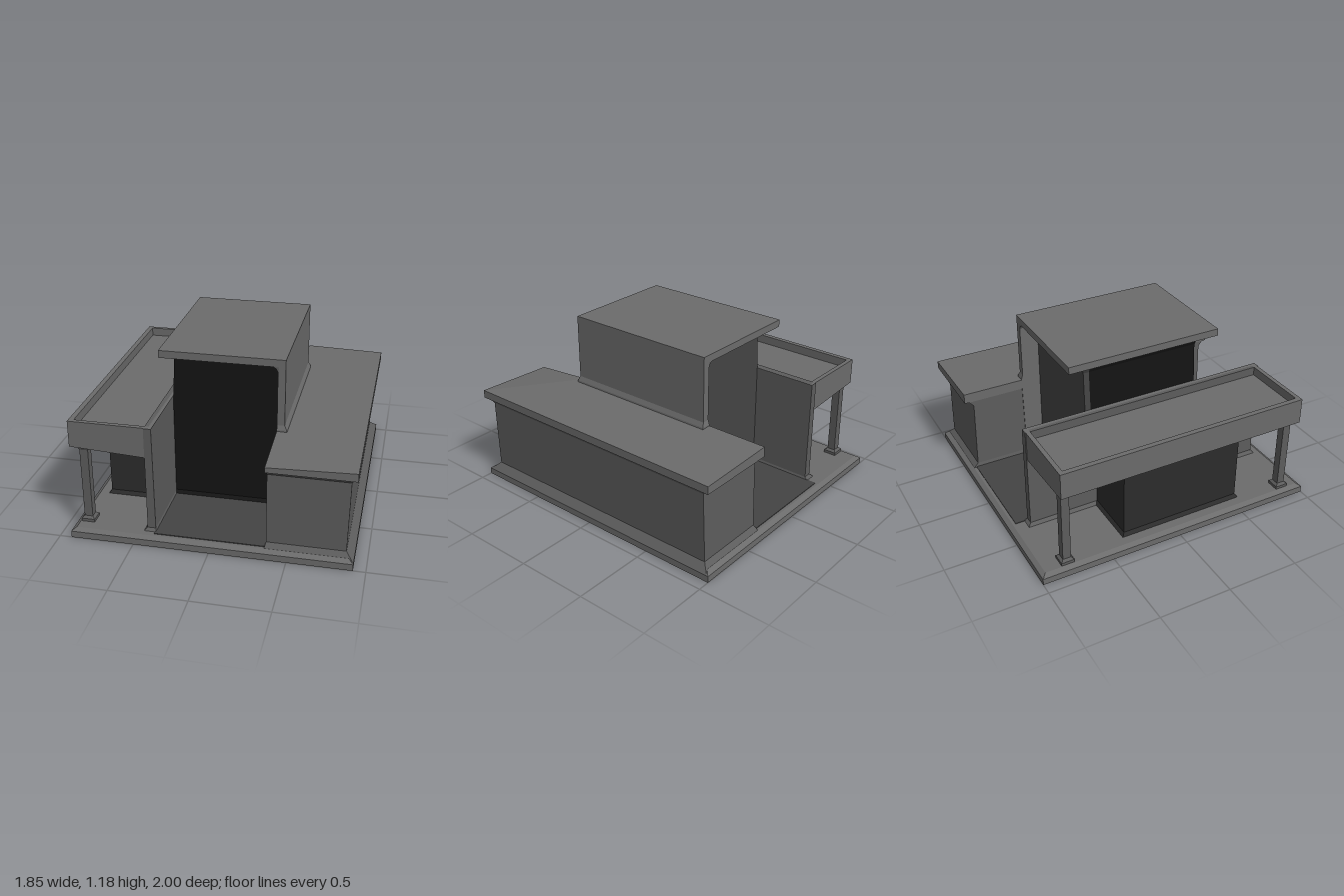
import * as THREE from 'three';

const paint = (color) => new THREE.MeshStandardMaterial({ color, flatShading: true });
const mid = paint(0x6b6b6b);
const wall = paint(0x5c5c5c);
const shade = paint(0x444444);
const dim = paint(0x2c2c2c);
const dark = paint(0x141414);

// Stack of rectangles [y, x0, x1, z0, z1], joined bottom to top and capped
function loft(rects) {
  const pos = [], idx = [];
  rects.forEach(([y, x0, x1, z0, z1]) =>
    pos.push(x0, y, z1, x1, y, z1, x1, y, z0, x0, y, z0));
  for (let r = 0; r < rects.length - 1; r++) {
    for (let i = 0; i < 4; i++) {
      const a = r * 4 + i, b = r * 4 + (i + 1) % 4;
      idx.push(a, b, b + 4, a, b + 4, a + 4);
    }
  }
  const t = (rects.length - 1) * 4;
  idx.push(0, 2, 1, 0, 3, 2, t, t + 1, t + 3, t + 1, t + 2, t + 3);
  const indexed = new THREE.BufferGeometry();
  indexed.setAttribute('position', new THREE.Float32BufferAttribute(pos, 3));
  indexed.setIndex(idx);
  const g = indexed.toNonIndexed();
  g.computeVertexNormals();
  return g;
}

// Box given by its limits
function block(x0, x1, y0, y1, z0, z1) {
  return loft([[y0, x0, x1, z0, z1], [y1, x0, x1, z0, z1]]);
}

// Move vertices up or down by a rule depending on their position
function shiftY(geometry, rule) {
  const p = geometry.attributes.position;
  for (let i = 0; i < p.count; i++) {
    p.setY(i, p.getY(i) + rule(p.getX(i), p.getY(i), p.getZ(i)));
  }
  geometry.computeVertexNormals();
  return geometry;
}

export function createModel() {
  const model = new THREE.Group();
  model.name = 'building';
  const add = (name, geometry, material) => {
    const mesh = new THREE.Mesh(geometry, material);
    mesh.name = name;
    model.add(mesh);
    return mesh;
  };

  // Ground slab with a softened upper edge
  add('baseSlab', loft([
    [0, -0.92, 0.92, -1, 1],
    [0.045, -0.92, 0.92, -1, 1],
    [0.065, -0.89, 0.89, -0.97, 0.97],
  ]), mid);

  // Shaded paving of the two open bays
  add('frontBayFloor', block(-0.37, 0.37, 0.05, 0.07, 0.4, 0.95), shade);
  add('backBayFloor', block(-0.37, 0.37, 0.05, 0.07, -0.95, -0.4), shade);

  // Closed side wing: flared foot, slightly leaning walls, cove under the eaves
  add('wingWalls', loft([
    [0.045, 0.35, 0.92, -0.99, 0.99],
    [0.095, 0.36, 0.87, -0.935, 0.935],
    [0.58, 0.36, 0.88, -0.925, 0.93],
    [0.625, 0.36, 0.905, -0.965, 0.965],
  ]), wall);

  // Wing roof: rises toward the tower, with a folded front end
  add('wingRoof', shiftY(block(0.355, 0.92, 0.62, 0.675, -0.99, 0.55),
    (x, y) => (x < 0.5 && y > 0.65 ? 0.015 : 0)), mid);
  add('wingRoofFront', shiftY(block(0.355, 0.92, 0.62, 0.675, 0.55, 0.985),
    (x, y, z) => (x > 0.5 || y < 0.65 ? 0 : z > 0.8 ? -0.02 : 0.015)), mid);

  // Tower core set back under the roof; only the outer side of each half flares
  const towerHalf = (front) => [
    [0.06, -0.37, 0.03], [0.09, -0.37, 0], [0.8, -0.37, 0],
    [1.07, -0.355, 0], [1.11, -0.37, 0.01], [1.135, -0.4, 0.03],
  ].map(([y, x0, flare]) => (front
    ? [y, x0, 0.37, -0.38, 0.41 + flare]
    : [y, x0, 0.37, -0.42 - flare, -0.38]));
  add('towerCore', loft(towerHalf(true)), dark);
  add('towerBackWall', loft(towerHalf(false)), shade);

  // Full-depth side panel and overhanging roof of the tower
  add('towerSidePanel', loft([
    [0.06, 0.355, 0.405, -0.55, 0.55],
    [0.67, 0.355, 0.425, -0.56, 0.56],
    [0.7, 0.355, 0.42, -0.56, 0.56],
    [0.73, 0.355, 0.405, -0.55, 0.55],
    [1.14, 0.355, 0.405, -0.55, 0.55],
  ]), mid);
  add('towerRoof', block(-0.42, 0.405, 1.13, 1.18, -0.55, 0.55), mid);

  // Rounded inner corners where the side panel meets the roof
  for (const z of [0.4, -0.55]) {
    const s = new THREE.Shape();
    s.moveTo(0.36, 1.135);
    s.lineTo(0.3, 1.135);
    s.quadraticCurveTo(0.36, 1.135, 0.36, 1.06);
    const g = new THREE.ExtrudeGeometry(s, { depth: 0.15, bevelEnabled: false, curveSegments: 4 });
    add('cornerGusset', g, wall).position.z = z;
  }

  // Long partition wall between the tower bay and the porch
  add('partitionWall', loft([
    [0.06, -0.45, -0.36, -0.89, 0.93],
    [0.085, -0.425, -0.37, -0.865, 0.91],
    [0.8, -0.425, -0.375, -0.865, 0.91],
  ]), wall);

  // Porch roof: sloping soffit with a raised rim around a sunken deck
  add('porchDeck', shiftY(block(-0.92, -0.38, 0.62, 0.74, -0.86, 0.905),
    (x, y) => (y < 0.65 && x > -0.5 ? -0.03 : 0)), mid);
  const rim = new THREE.Shape();
  rim.moveTo(-0.925, -0.905);
  rim.lineTo(-0.375, -0.905);
  rim.lineTo(-0.375, 0.86);
  rim.lineTo(-0.925, 0.86);
  const inner = new THREE.Path();
  inner.moveTo(-0.89, -0.875);
  inner.lineTo(-0.89, 0.83);
  inner.lineTo(-0.4, 0.83);
  inner.lineTo(-0.4, -0.875);
  rim.holes.push(inner);
  const rimGeometry = new THREE.ExtrudeGeometry(rim, { depth: 0.18, bevelEnabled: false });
  rimGeometry.rotateX(-Math.PI / 2);
  add('porchRim', rimGeometry, mid).position.y = 0.62;

  // Enclosed room under the porch
  add('porchRoom', loft([
    [0.06, -0.83, -0.4, -0.39, 0.52],
    [0.09, -0.81, -0.4, -0.37, 0.5],
    [0.64, -0.81, -0.4, -0.37, 0.5],
  ]), dim);

  // Porch posts with flared foot and head
  for (const z of [-0.81, 0.85]) {
    const ring = (y, r) => [y, -0.84 - r, -0.84 + r, z - r, z + r];
    add('porchPost', loft([
      ring(0.06, 0.045), ring(0.085, 0.045), ring(0.1, 0.028),
      ring(0.59, 0.028), ring(0.63, 0.045),
    ]), wall);
  }

  return model;
}
